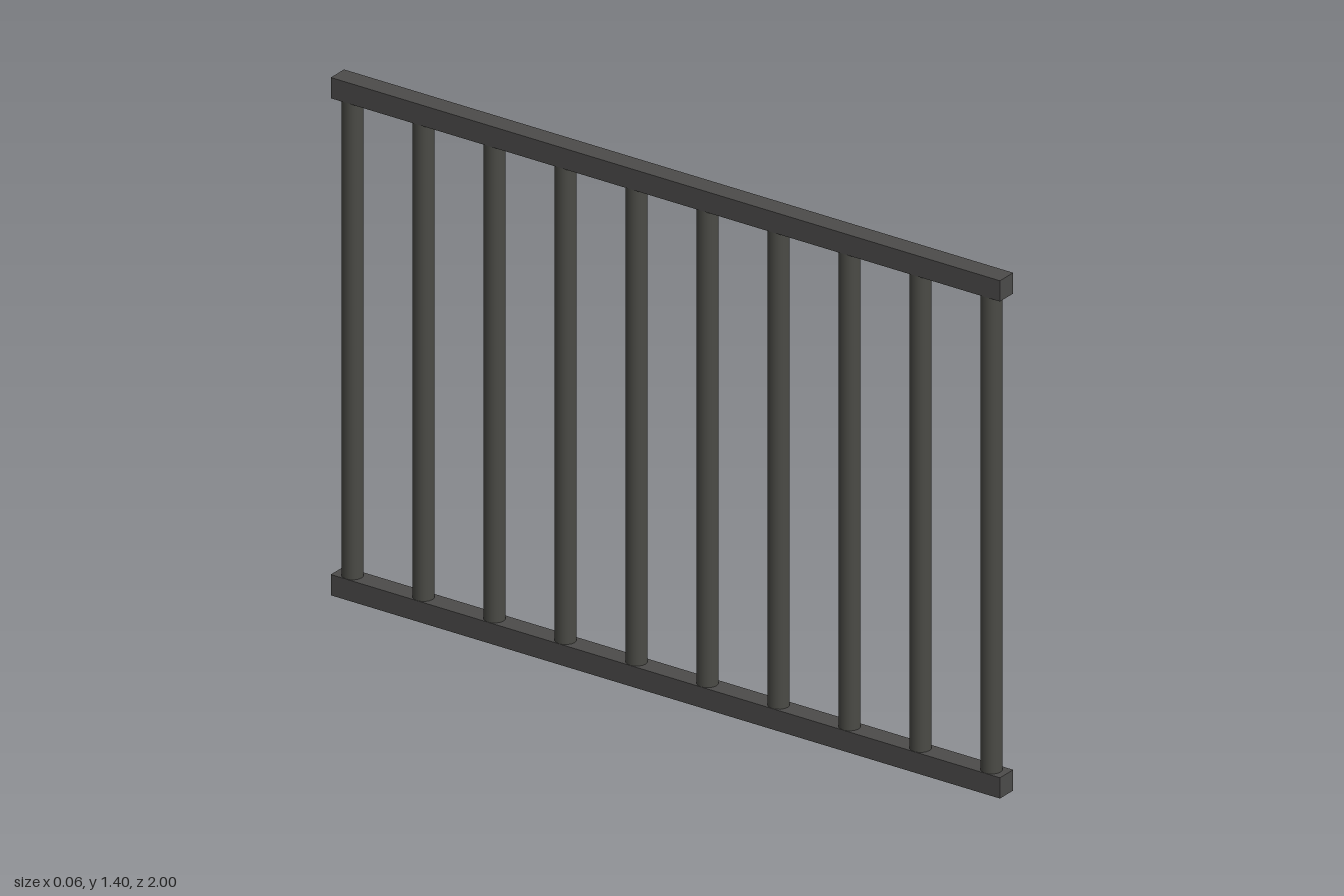
import * as THREE from 'three';

const HEIGHT = 1.397, RAIL = 0.056, LENGTH = 2;
const BAR_COUNT = 10, BAR_RADIUS = 0.0275, BAR_SPAN = 1.91;

export function createModel() {
  const model = new THREE.Group();
  model.name = 'railing';
  const railMaterial = new THREE.MeshStandardMaterial({ color: 0x4c4b4a });
  const barMaterial = new THREE.MeshStandardMaterial({ color: 0x4b4b46 });

  // Square top and bottom rails running front to back
  const railGeometry = new THREE.BoxGeometry(RAIL, RAIL, LENGTH);
  for (const [name, y] of [['bottomRail', RAIL / 2], ['topRail', HEIGHT - RAIL / 2]]) {
    const rail = new THREE.Mesh(railGeometry, railMaterial);
    rail.name = name;
    rail.position.y = y;
    model.add(rail);
  }

  // Evenly spaced round bars between the rails
  const bars = new THREE.Group();
  bars.name = 'bars';
  const barGeometry = new THREE.CylinderGeometry(BAR_RADIUS, BAR_RADIUS, HEIGHT - 2 * RAIL, 16, 1, true);
  for (let i = 0; i < BAR_COUNT; i++) {
    const bar = new THREE.Mesh(barGeometry, barMaterial);
    bar.name = `bar${i + 1}`;
    bar.position.set(0, HEIGHT / 2, BAR_SPAN * (0.5 - i / (BAR_COUNT - 1)));
    bars.add(bar);
  }
  model.add(bars);
  return model;
}
